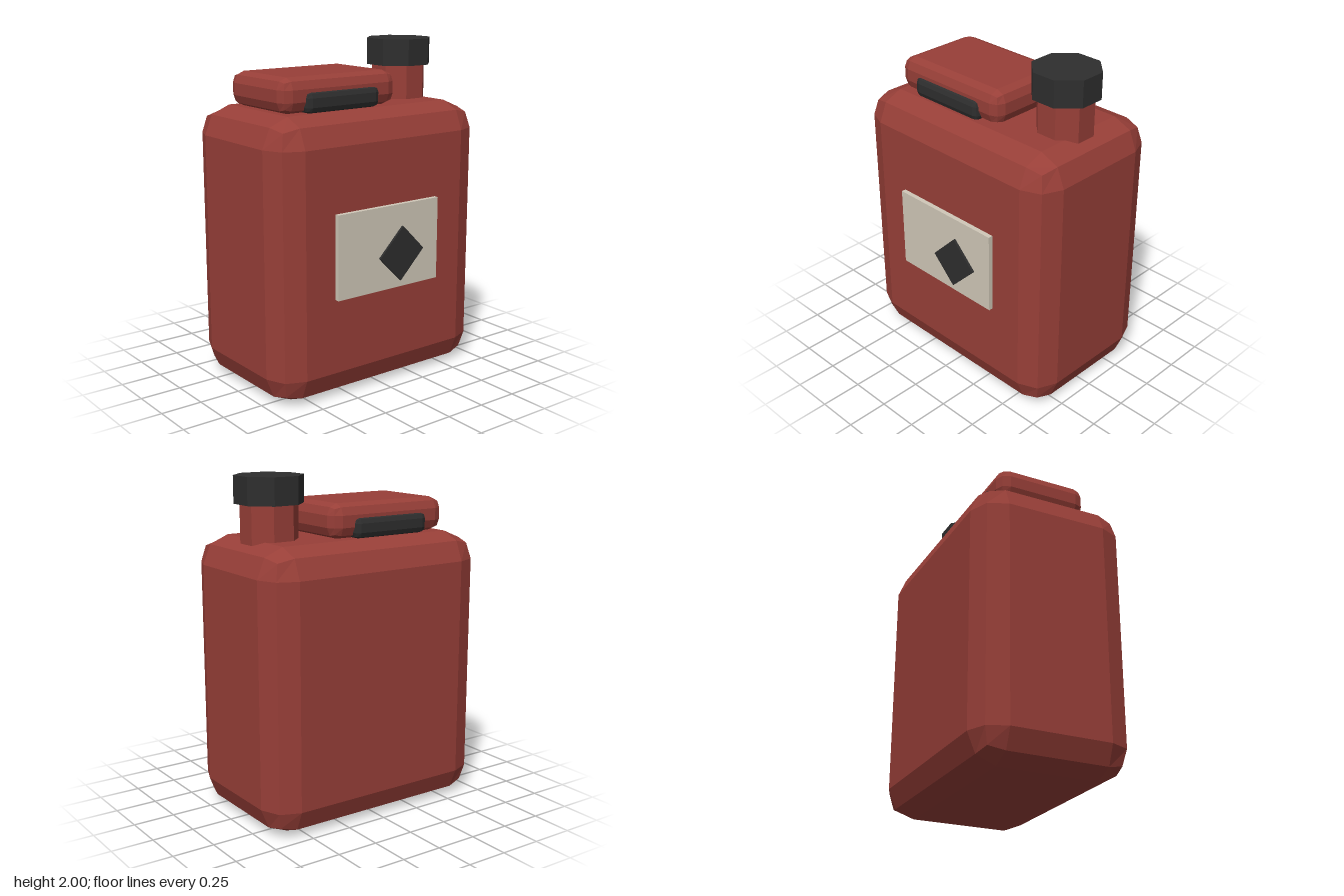
import * as THREE from 'three';
import { RoundedBoxGeometry } from 'three/addons/geometries/RoundedBoxGeometry.js';

// Faceted box with two-step bevels, given by its extents on each axis
function bevelBox([x0, x1], [y0, y1], [z0, z1], radius) {
  const geo = new RoundedBoxGeometry(x1 - x0, y1 - y0, z1 - z0, 1, radius);
  geo.translate((x0 + x1) / 2, (y0 + y1) / 2, (z0 + z1) / 2);
  geo.computeVertexNormals();
  return geo;
}

// Upright octagonal prism with flats facing the axes
function octagon(width, y0, y1, x, z) {
  const r = width / 2 / Math.cos(Math.PI / 8);
  const geo = new THREE.CylinderGeometry(r, r, y1 - y0, 8).rotateY(Math.PI / 8).toNonIndexed();
  geo.translate(x, (y0 + y1) / 2, z);
  geo.computeVertexNormals();
  return geo;
}

export function createModel() {
  const model = new THREE.Group();
  model.name = 'fuelCan';

  const red = new THREE.MeshStandardMaterial({ color: 0x983f38 });
  red.name = 'red';
  const black = new THREE.MeshStandardMaterial({ color: 0x2e2e2e });
  black.name = 'black';
  const cream = new THREE.MeshStandardMaterial({ color: 0xd0c8b8 });
  cream.name = 'cream';

  const add = (name, geo, material) => {
    const mesh = new THREE.Mesh(geo, material);
    mesh.name = name;
    model.add(mesh);
    return mesh;
  };

  // Tank and the handle block on top
  add('body', bevelBox([-0.733, 0.733], [0, 1.64], [-0.487, 0.445], 0.165), red);
  add('handle', bevelBox([-0.58, 0.222], [1.64, 1.84], [-0.302, 0.26], 0.065), red);

  // Grip bar passing through the handle, showing front and back
  add('grip', bevelBox([-0.435, 0.08], [1.637, 1.76], [-0.325, 0.282], 0.035), black);

  // Filler neck and screw cap
  add('neck', octagon(0.308, 1.6, 1.85, 0.466, -0.02), red);
  add('cap', octagon(0.37, 1.842, 2, 0.466, -0.02), black);

  // Front label plate with a tilted square mark
  add('label', new THREE.BoxGeometry(0.735, 0.495, 0.04).translate(-0.002, 0.853, 0.453), cream);
  const mark = add('labelMark', new THREE.BoxGeometry(0.24, 0.22, 0.016), black);
  mark.position.set(0.083, 0.808, 0.479);
  mark.rotation.z = Math.PI / 4;

  return model;
}
